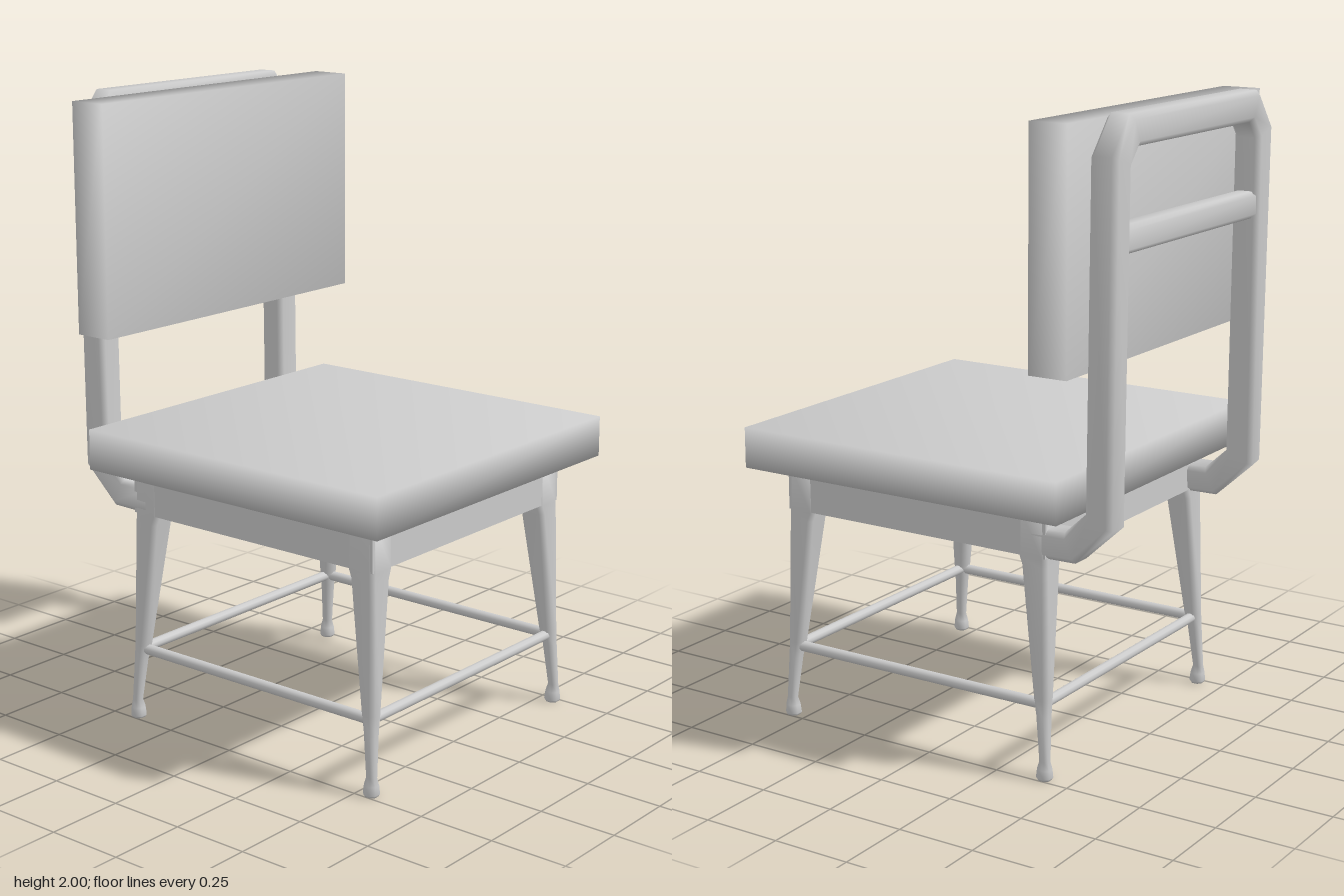
import * as THREE from 'three';
import { mergeVertices } from 'three/addons/utils/BufferGeometryUtils.js';

const material = new THREE.MeshStandardMaterial({ color: 0xcccccc });
const V = (x, y, z) => new THREE.Vector3(x, y, z);
const CZ = 0.07; // centre of the seat base in z

// Rectangle with cut corners, counter-clockwise
function cutRect(a, b, c) {
  return [[a, c - b], [a, b - c], [a - c, b], [c - a, b], [-a, b - c], [-a, c - b], [c - a, -b], [a - c, -b]];
}

// Closed skin over a row of equal rings
function loft(rings) {
  const n = rings[0].length, last = (rings.length - 1) * n, index = [];
  for (let i = 0; i < rings.length - 1; i++) {
    for (let j = 0; j < n; j++) {
      const a = i * n + j, b = i * n + (j + 1) % n;
      index.push(a, b, a + n, b, b + n, a + n);
    }
  }
  for (let j = 1; j < n - 1; j++) index.push(0, j + 1, j, last, last + j, last + j + 1);
  const geo = new THREE.BufferGeometry().setFromPoints(rings.flat());
  geo.setIndex(index);
  geo.computeVertexNormals();
  return geo;
}

// Sweep a profile along straight runs with mitred bends
function sweep(path, profile, side) {
  const n = side.clone();
  return loft(path.map((p, i) => {
    const tIn = p.clone().sub(path[Math.max(i - 1, 0)]).normalize();
    const tOut = path[Math.min(i + 1, path.length - 1)].clone().sub(p).normalize();
    const t = tIn.clone().add(tOut).normalize();
    n.addScaledVector(t, -n.dot(t)).normalize();
    const v = t.clone().cross(n);
    const inner = i > 0 && i < path.length - 1;
    const bend = inner ? tOut.clone().sub(tIn).normalize() : V(0, 0, 0);
    const stretch = inner ? 1 / t.dot(tIn) - 1 : 0;
    return profile.map(([a, b]) => {
      const o = n.clone().multiplyScalar(a).addScaledVector(v, b);
      return o.addScaledVector(bend, o.dot(bend) * stretch).add(p);
    });
  }));
}

// Box with normals shared round its corners for a soft, padded look
function softBox(w, h, d) {
  const geo = new THREE.BoxGeometry(w, h, d);
  geo.deleteAttribute('uv');
  geo.deleteAttribute('normal');
  const soft = mergeVertices(geo);
  soft.computeVertexNormals();
  return soft;
}

export function createModel() {
  const group = new THREE.Group();
  const add = (name, geo, x = 0, y = 0, z = 0) => {
    const mesh = new THREE.Mesh(geo, material);
    mesh.name = name;
    mesh.position.set(x, y, z);
    group.add(mesh);
    return mesh;
  };

  // Cushions
  add('seat', softBox(1.15, 0.13, 1.145), 0, 0.9, 0.0675);
  add('backrest', softBox(1.15, 0.72, 0.127), 0, 1.625, -0.4735);

  // Apron under the seat
  add('apron', new THREE.BoxGeometry(0.956, 0.15, 0.956), 0, 0.767, CZ);

  // Tapered legs with small flared feet: height, inner and outer distance
  const legRings = [
    [0, 0.461, 0.499], [0.008, 0.456, 0.504], [0.035, 0.459, 0.502], [0.06, 0.466, 0.497],
    [0.2, 0.45, 0.492], [0.25, 0.44, 0.491], [0.66, 0.392, 0.482], [0.69, 0.38, 0.481], [0.83, 0.38, 0.479],
  ];
  for (const sx of [-1, 1]) {
    for (const sz of [-1, 1]) {
      add('leg', loft(legRings.map(([y, inner, outer]) => {
        const c = (inner + outer) / 2, h = (outer - inner) / 2;
        return cutRect(h, h, Math.min(h * 0.55, 0.014)).map(([a, b]) => V(sx * c + b, y, CZ + sz * c + a));
      })));
    }
  }

  // Round stretchers between the legs
  for (const s of [-1, 1]) {
    const cross = new THREE.CylinderGeometry(0.017, 0.017, 0.93, 10);
    add('stretcher', cross, 0, 0.235, CZ + s * 0.467).rotation.z = Math.PI / 2;
    add('stretcher', cross, s * 0.467, 0.235, CZ).rotation.x = Math.PI / 2;
  }

  // Back frame: one bent bar from the apron up, across and down again
  const half = [
    V(0.4325, 0.735, -0.36), V(0.4325, 0.737, -0.485), V(0.4325, 0.828, -0.583),
    V(0.4325, 1.87, -0.591), V(0.365, 1.9525, -0.592),
  ];
  const path = [...half, ...half.map((p) => V(-p.x, p.y, p.z)).reverse()];
  add('backFrame', sweep(path, cutRect(0.0475, 0.045, 0.016), V(1, 0, 0)));

  // Crossbar of the back frame
  add('backCrossbar', sweep([V(-0.42, 1.645, -0.59), V(0.42, 1.645, -0.59)], cutRect(0.042, 0.036, 0.014), V(0, 1, 0)));

  return group;
}
